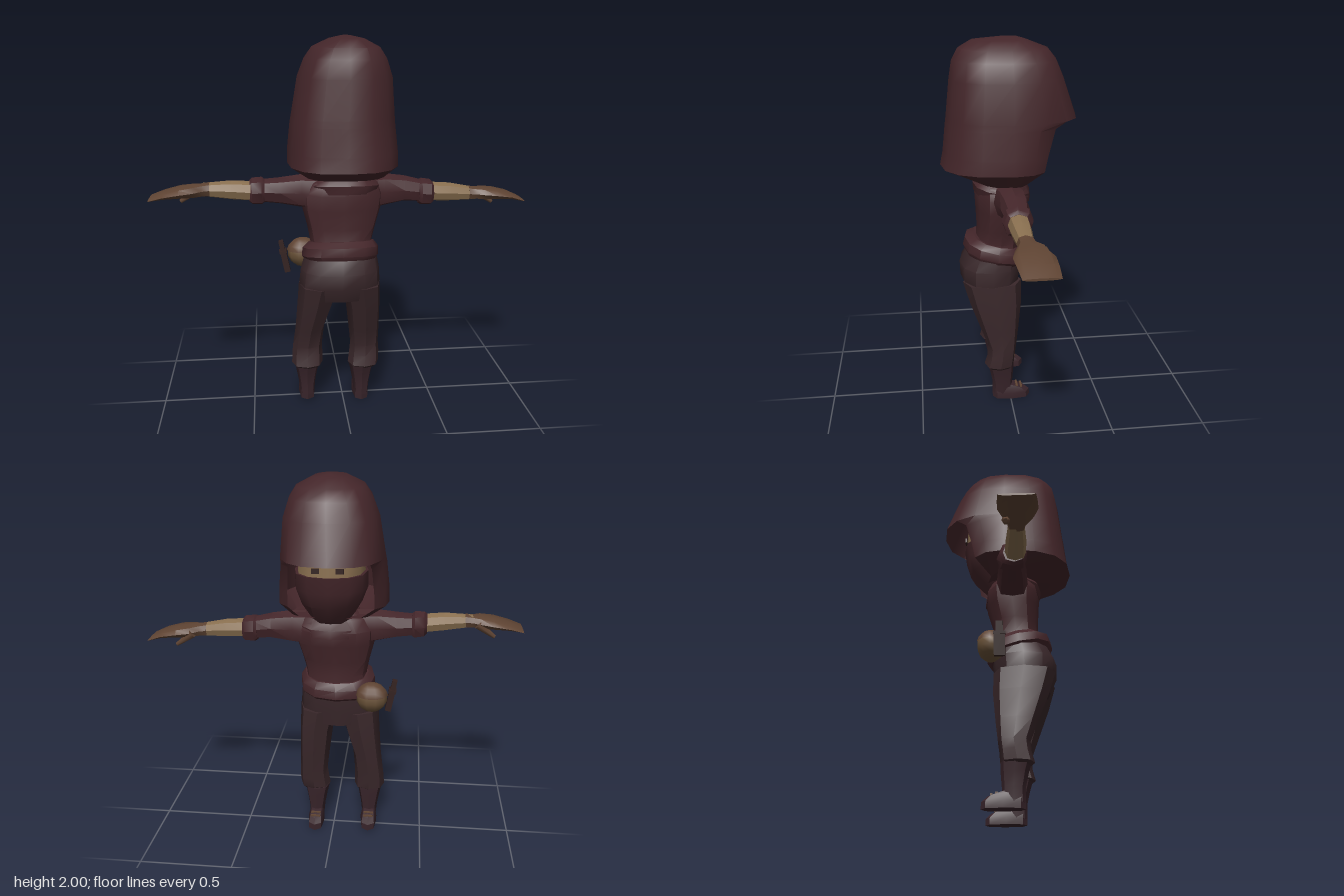
import * as THREE from 'three';
import { toCreasedNormals } from 'three/addons/utils/BufferGeometryUtils.js';

const mat = (name, color, side = THREE.FrontSide) => {
  const m = new THREE.MeshStandardMaterial({ color, side });
  m.name = name;
  return m;
};

export function createModel() {
  const model = new THREE.Group();
  model.name = 'hoodedFigure';
  const cloth = mat('maroonCloth', 0x44262a, THREE.DoubleSide);
  const trousers = mat('darkTrousers', 0x39272a);
  const boot = mat('bootLeather', 0x38242a);
  const skin = mat('skin', 0x8a7050);
  const glove = mat('gloveLeather', 0x5f4433);
  const pouchMat = mat('pouchLeather', 0x6a5238);
  const dark = mat('darkHandle', 0x33211f);

  const add = (name, geo, material, parent = model) => {
    const mesh = new THREE.Mesh(geo, material);
    mesh.name = name;
    parent.add(mesh);
    return mesh;
  };

  // Joins rings of points into a skin; skip(ring, side) leaves openings
  function loft(rings, { caps = true, skip = () => false, crease = 0.65 } = {}) {
    const n = rings[0].length, pos = rings.flat(2), idx = [];
    for (let r = 0; r < rings.length - 1; r++) {
      for (let i = 0; i < n; i++) {
        if (skip(r, i)) continue;
        const a = r * n + i, b = r * n + (i + 1) % n;
        idx.push(a, b, b + n, a, b + n, a + n);
      }
    }
    if (caps) {
      const last = (rings.length - 1) * n;
      for (let i = 1; i < n - 1; i++) {
        idx.push(0, i + 1, i, last, last + i, last + i + 1);
      }
    }
    const g = new THREE.BufferGeometry();
    g.setAttribute('position', new THREE.Float32BufferAttribute(pos, 3));
    g.setIndex(idx);
    return toCreasedNormals(g, crease);
  }

  const pw = (v, p) => Math.sign(v) * Math.abs(v) ** p;
  const around = (n, f) => Array.from({ length: n }, (_, i) => f(i / n * Math.PI * 2));

  // Upright ring from x and z limits, optionally tilted toward the front
  const upright = ([y, x0, x1, z0, z1], n = 10, p = 0.85, tilt = 0) => around(n, a => {
    const dz = (z1 - z0) / 2 * pw(Math.cos(a), p);
    return [(x0 + x1) / 2 + (x1 - x0) / 2 * pw(Math.sin(a), p), y + tilt * dz, (z0 + z1) / 2 + dz];
  });
  const column = (rows, n, p, tilt) => loft(rows.map(r => upright(r, n, p, tilt)));

  // Hood: pointed brim at -z, lower front left open
  const hoodRows = [ // y, centre x, half width, back z, front z
    [1.28, 0.015, 0.21, 0.17, 0.10],
    [1.355, 0, 0.29, 0.355, 0.21],
    [1.43, 0, 0.288, 0.34, 0.23],
    [1.57, 0, 0.272, 0.325, 0.28],
    [1.605, 0.002, 0.267, 0.32, 0.35],
    [1.80, 0.012, 0.243, 0.30, 0.28],
    [1.89, 0.015, 0.21, 0.285, 0.24],
    [1.945, 0.017, 0.172, 0.255, 0.195],
    [1.985, 0.02, 0.09, 0.19, 0.09],
    [2.0, 0.02, 0.02, 0.05, 0.04],
  ];
  const hoodRings = hoodRows.map(([y, cx, w, zb, zf]) => around(16, a => {
    const c = pw(Math.cos(a), 0.8);
    return [cx + w * pw(Math.sin(a), 0.8), y, c > 0 ? c * zb : c * zf];
  }));
  add('hood', loft(hoodRings, { skip: (r, i) => r < 4 && i >= 6 && i <= 9 }), cloth);

  // Masked head, bare strip at the eyes
  add('faceMask', column([
    [1.25, -0.09, 0.11, -0.10, 0.12], [1.36, -0.15, 0.17, -0.20, 0.16],
    [1.44, -0.18, 0.20, -0.225, 0.18], [1.525, -0.18, 0.20, -0.238, 0.18],
  ], 12), cloth);
  add('eyeStrip', column([
    [1.525, -0.165, 0.185, -0.228, 0.17], [1.64, -0.16, 0.18, -0.225, 0.17],
  ], 12), skin);
  for (const s of [-1, 1]) {
    add('eye', new THREE.BoxGeometry(0.04, 0.025, 0.008), dark).position.set(0.01 + s * 0.06, 1.56, -0.226);
  }

  // Torso, collar and sash
  add('torso', column([
    [0.86, -0.19, 0.17, -0.07, 0.20], [0.94, -0.175, 0.155, -0.065, 0.175],
    [1.02, -0.19, 0.175, -0.07, 0.17], [1.12, -0.215, 0.205, -0.10, 0.175],
    [1.20, -0.22, 0.215, -0.11, 0.18], [1.26, -0.18, 0.19, -0.085, 0.17],
    [1.30, -0.11, 0.13, -0.06, 0.13],
  ], 12), cloth);
  add('collar', column([
    [1.19, -0.16, 0.18, -0.115, 0.185], [1.235, -0.18, 0.20, -0.112, 0.19],
    [1.285, -0.13, 0.15, -0.085, 0.16], [1.31, -0.09, 0.11, -0.07, 0.12],
  ], 12, 0.85, 0.15), cloth);
  add('sash', column([
    [0.84, -0.205, 0.175, -0.08, 0.235], [0.86, -0.222, 0.19, -0.10, 0.245],
    [0.905, -0.218, 0.188, -0.10, 0.235], [0.935, -0.185, 0.165, -0.075, 0.19],
  ], 12, 0.85, 0.22), cloth);

  // Trousers
  add('hips', column([
    [0.645, -0.22, 0.18, -0.05, 0.23], [0.72, -0.24, 0.195, -0.06, 0.262],
    [0.80, -0.23, 0.19, -0.07, 0.265], [0.88, -0.205, 0.175, -0.07, 0.225],
  ], 12), trousers);
  const legs = {
    right: {
      leg: [[0.215, -0.255, -0.14, 0, 0.12], [0.235, -0.285, -0.115, -0.02, 0.145], [0.29, -0.283, -0.115, -0.025, 0.13],
        [0.34, -0.277, -0.117, -0.032, 0.125], [0.45, -0.262, -0.105, -0.045, 0.165],
        [0.60, -0.25, -0.055, -0.06, 0.22], [0.72, -0.242, -0.02, -0.06, 0.255]],
      x: -0.202, y: 0.018,
    },
    left: {
      leg: [[0.205, 0.06, 0.175, 0, 0.12], [0.225, 0.027, 0.198, -0.02, 0.145], [0.28, 0.035, 0.202, -0.025, 0.13],
        [0.34, 0.042, 0.198, -0.032, 0.125], [0.45, 0.03, 0.2, -0.045, 0.165],
        [0.60, 0.012, 0.2, -0.06, 0.22], [0.72, -0.02, 0.196, -0.06, 0.255]],
      x: 0.103, y: 0,
    },
  };
  for (const [side, { leg, x, y }] of Object.entries(legs)) {
    add(side + 'TrouserLeg', column(leg, 8), trousers);
    // Boot: shaft, foot and toe straps
    const b = new THREE.Group();
    b.name = side + 'Boot';
    b.position.set(x, y, 0);
    model.add(b);
    add('shaft', column([
      [0.03, -0.04, 0.04, -0.01, 0.10], [0.10, -0.047, 0.047, -0.012, 0.10],
      [0.17, -0.06, 0.06, -0.018, 0.115], [0.22, -0.072, 0.072, -0.02, 0.13],
    ], 8), boot, b);
    add('foot', column([
      [0, -0.044, 0.044, -0.11, 0.10], [0.035, -0.046, 0.046, -0.108, 0.10],
      [0.06, -0.04, 0.04, -0.08, 0.10], [0.08, -0.036, 0.036, -0.02, 0.098],
    ], 8, 0.7), boot, b);
    for (const [sy, sz] of [[0.066, -0.06], [0.073, -0.035]]) {
      add('strap', new THREE.BoxGeometry(0.055, 0.008, 0.012), glove, b).position.set(0, sy, sz);
    }
  }

  // Arms: distance out, then height and depth for the left and right arm, half height, half depth
  const armParts = [
    ['sleeve', cloth, 8, [[0.12, 1.19, 0.03, 1.20, 0.04, 0.095, 0.085], [0.22, 1.2, 0.01, 1.21, 0.04, 0.088, 0.08],
      [0.33, 1.203, 0.003, 1.215, 0.045, 0.07, 0.072], [0.43, 1.188, 0.004, 1.217, 0.046, 0.06, 0.06]]],
    ['cuff', cloth, 8, [[0.41, 1.185, 0.005, 1.217, 0.046, 0.062, 0.066], [0.425, 1.184, 0.005, 1.217, 0.046, 0.073, 0.077],
      [0.475, 1.18, 0.008, 1.218, 0.055, 0.07, 0.07], [0.49, 1.18, 0.008, 1.218, 0.06, 0.055, 0.055]]],
    ['forearm', skin, 8, [[0.46, 1.184, 0.008, 1.219, 0.065, 0.052, 0.054], [0.58, 1.178, 0.007, 1.23, 0.073, 0.05, 0.05],
      [0.73, 1.165, 0.004, 1.237, 0.08, 0.034, 0.036]]],
    ['glove', glove, 8, [[0.69, 1.169, 0.004, 1.237, 0.08, 0.038, 0.042], [0.73, 1.166, 0, 1.235, 0.084, 0.035, 0.046],
      [0.77, 1.165, -0.01, 1.234, 0.09, 0.034, 0.074], [0.84, 1.162, -0.012, 1.23, 0.09, 0.027, 0.094],
      [0.92, 1.15, -0.017, 1.218, 0.09, 0.017, 0.09], [0.992, 1.126, -0.022, 1.2, 0.09, 0.006, 0.084]]],
  ];
  for (const s of [1, -1]) {
    const arm = new THREE.Group();
    arm.name = s > 0 ? 'leftArm' : 'rightArm';
    model.add(arm);
    for (const [name, material, n, rows] of armParts) {
      const rings = rows.map(([d, yl, zl, yr, zr, ry, rz]) => around(n, a => [
        s * d, (s > 0 ? yl : yr) + ry * pw(Math.cos(a), 0.85), (s > 0 ? zl : zr) + rz * pw(Math.sin(a), 0.85)]));
      add(name, loft(s > 0 ? rings : rings.reverse()), material, arm);
    }
    // Thumb hangs below the front edge of the hand
    const thumb = add('thumb', new THREE.CylinderGeometry(0.024, 0.011, 0.11, 6), glove, arm);
    thumb.position.set(s * 0.8, s > 0 ? 1.13 : 1.198, s > 0 ? -0.065 : 0.035);
    thumb.rotation.z = s * 0.95;
  }

  // Belt pouch with flap
  const pouch = add('pouch', new THREE.SphereGeometry(1, 10, 7), pouchMat);
  pouch.scale.set(0.085, 0.08, 0.07);
  pouch.position.set(-0.21, 0.835, -0.07);
  const flap = add('pouchFlap', new THREE.SphereGeometry(1, 10, 4, 0, Math.PI * 2, 0, Math.PI * 0.45), glove);
  flap.scale.set(0.09, 0.082, 0.074);
  flap.position.set(-0.21, 0.838, -0.07);

  // Sheathed knife at the right hip
  const knife = new THREE.Group();
  knife.name = 'knife';
  knife.position.set(-0.315, 0.835, -0.02);
  knife.rotation.z = 0.2;
  model.add(knife);
  add('sheath', new THREE.BoxGeometry(0.032, 0.12, 0.055), dark, knife).position.y = -0.03;
  add('handle', new THREE.BoxGeometry(0.026, 0.07, 0.035), dark, knife).position.y = 0.05;
  add('guard', new THREE.BoxGeometry(0.04, 0.014, 0.06), dark, knife).position.y = 0.025;

  return model;
}
